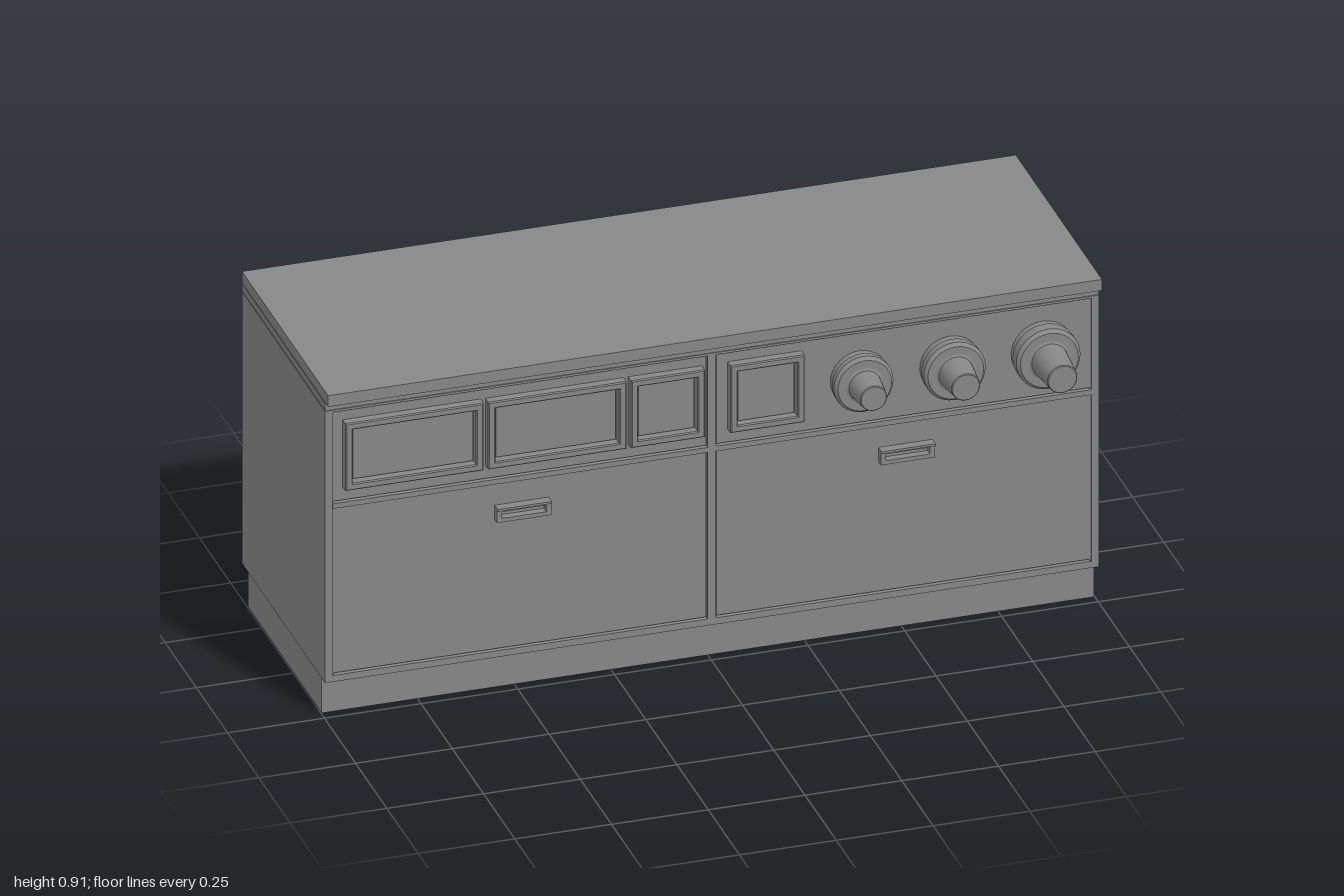
import * as THREE from 'three';

export function createModel() {
  const model = new THREE.Group();
  const mat = new THREE.MeshStandardMaterial({ color: 0x878787 });

  function add(name, geometry) {
    const mesh = new THREE.Mesh(geometry, mat);
    mesh.name = name;
    model.add(mesh);
    return mesh;
  }

  // Box given by its limits on each axis
  function box(name, x0, x1, y0, y1, z0, z1) {
    const mesh = add(name, new THREE.BoxGeometry(x1 - x0, y1 - y0, z1 - z0));
    mesh.position.set((x0 + x1) / 2, (y0 + y1) / 2, (z0 + z1) / 2);
    return mesh;
  }

  function rectangle(Type, x0, x1, y0, y1) {
    return new Type([[x0, y0], [x1, y0], [x1, y1], [x0, y1]].map(p => new THREE.Vector2(...p)));
  }

  // Flat frame with rectangular openings, optionally bevelled
  function frame(name, outer, openings, z0, z1, bevel = 0) {
    const [x0, x1, y0, y1] = outer;
    const shape = rectangle(THREE.Shape, x0 + bevel, x1 - bevel, y0 + bevel, y1 - bevel);
    shape.holes = openings.map(([a, b, c, d]) =>
      rectangle(THREE.Path, a - bevel, b + bevel, c - bevel, d + bevel));
    const geometry = new THREE.ExtrudeGeometry(shape, {
      depth: z1 - z0 - bevel, bevelEnabled: bevel > 0,
      bevelSize: bevel, bevelThickness: bevel, bevelSegments: 1,
    });
    const mesh = add(name, geometry);
    mesh.position.z = z0;
    return mesh;
  }

  // Cabinet body with recessed front and back
  box('cabinetCore', -0.998, 0.998, 0.102, 0.858, -0.383, 0.243);
  const bays = [[-0.98, -0.011, 0.118, 0.849], [0.01, 0.981, 0.118, 0.849]];
  frame('frontFrame', [-1, 1, 0.1, 0.855], bays, 0.235, 0.255);
  for (const [x0, x1] of [[-1, -0.977], [0.977, 1]]) {
    box('sidePanel', x0, x1, 0.1, 0.855, -0.41, 0.25);
  }
  box('backBottomRail', -0.977, 0.977, 0.1, 0.122, -0.41, -0.37);
  box('backStile', -0.014, 0.014, 0.122, 0.857, -0.403, -0.37);

  // Worktop and the rail below it
  box('worktopGap', -0.997, 0.997, 0.852, 0.882, -0.38, 0.252);
  box('worktopRail', -1, 1, 0.858, 0.877, -0.41, 0.255);
  box('worktop', -1, 1, 0.88, 0.911, -0.41, 0.28);

  // Hollow plinth, open underneath
  const plinth = frame('plinth', [-0.998, 0.998, -0.222, 0.368],
    [[-0.994, 0.994, -0.218, 0.364]], 0, 0.101);
  plinth.rotation.x = -Math.PI / 2;
  plinth.position.z = 0;

  // Drawer fronts, control panels and the ledge between them
  for (const [x0, x1] of bays) {
    box('drawerFront', x0 + 0.003, x1 - 0.003, 0.122, 0.579, 0.23, 0.25);
    box('controlPanel', x0 + 0.003, x1 - 0.003, 0.599, 0.846, 0.23, 0.25);
    box('panelLedge', x0, x1, 0.582, 0.596, 0.235, 0.257);
  }

  // Framed display windows
  for (const [x0, x1] of [[-0.953, -0.596], [-0.584, -0.227], [-0.215, -0.024], [0.042, 0.234]]) {
    frame('windowFrame', [x0, x1, 0.635, 0.822],
      [[x0 + 0.019, x1 - 0.019, 0.654, 0.803]], 0.245, 0.275, 0.003);
    box('windowPane', x0 + 0.024, x1 - 0.024, 0.659, 0.798, 0.24, 0.26);
  }

  // Recessed drawer pulls with a projecting upper lip
  for (const x of [-0.49, 0.502]) {
    frame('drawerPull', [x - 0.07, x + 0.07, 0.481, 0.521],
      [[x - 0.057, x + 0.057, 0.492, 0.51]], 0.245, 0.27);
    box('drawerPullLip', x - 0.07, x + 0.07, 0.515, 0.521, 0.265, 0.275);
  }

  // Knobs: stepped, chamfered base and a tapered grip, growing to the left
  const knobs = [
    [0.382, 0.077, 0.295, 0.367, 0.042],
    [0.616, 0.08, 0.299, 0.38, 0.045],
    [0.855, 0.083, 0.308, 0.413, 0.047],
  ];
  for (const [x, r, baseZ, tipZ, grip] of knobs) {
    const profile = [
      [0, 0.245], [r * 0.97, 0.245], [r * 0.97, 0.268], [r, 0.27], [r, baseZ - 0.009],
      [r * 0.9, baseZ], [grip + 0.006, baseZ], [grip, baseZ + 0.003],
      [grip * 0.82, tipZ - 0.002], [grip * 0.77, tipZ], [0, tipZ],
    ];
    // Repeated corner points keep the profile edges crisp
    const points = profile.flatMap((p, i) =>
      i === 0 || i === profile.length - 1 ? [p] : [p, p]);
    const geometry = new THREE.BufferGeometry();
    const position = [], index = [];
    const sides = 32;
    for (const [radius, z] of points) {
      for (let j = 0; j <= sides; j++) {
        const a = (j / sides) * Math.PI * 2;
        position.push(radius * Math.cos(a), radius * Math.sin(a), z);
      }
    }
    for (let i = 0; i < points.length; i += 2) {
      for (let j = 0; j < sides; j++) {
        const a = i * (sides + 1) + j, b = a + sides + 1;
        index.push(a, a + 1, b + 1, a, b + 1, b);
      }
    }
    geometry.setAttribute('position', new THREE.Float32BufferAttribute(position, 3));
    geometry.setIndex(index);
    geometry.computeVertexNormals();
    add('knob', geometry).position.set(x, 0.723, 0);
  }

  return model;
}
